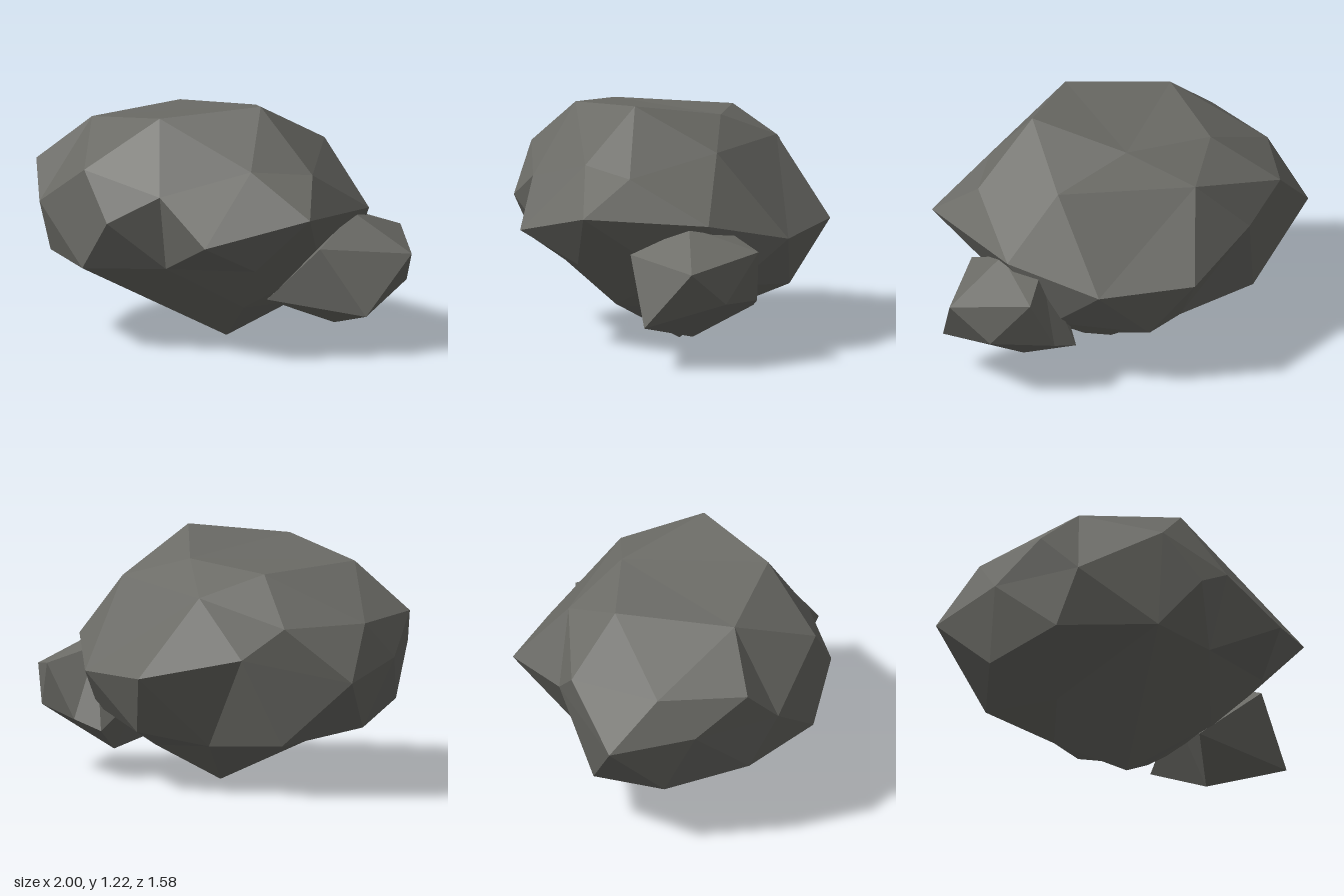
import * as THREE from 'three';
import { ConvexGeometry } from 'three/addons/geometries/ConvexGeometry.js';

// Faceted stone: facets are found on a sphere around the centre,
// then each corner is moved back out, which keeps the hollows.
function stoneGeometry(corners, centre) {
  const c = new THREE.Vector3(...centre);
  const real = corners.map((p) => new THREE.Vector3(...p));
  const onSphere = real.map((p) => p.clone().sub(c).normalize());
  const geometry = new ConvexGeometry(onSphere);
  const pos = geometry.attributes.position;
  const v = new THREE.Vector3();
  for (let i = 0; i < pos.count; i++) {
    v.fromBufferAttribute(pos, i);
    let best = 0;
    onSphere.forEach((r, k) => {
      if (r.distanceToSquared(v) < onSphere[best].distanceToSquared(v)) best = k;
    });
    pos.setXYZ(i, real[best].x, real[best].y, real[best].z);
  }
  geometry.computeVertexNormals();
  return geometry;
}

export function createModel() {
  const group = new THREE.Group();
  group.name = 'rocks';
  const stone = new THREE.MeshStandardMaterial({ color: 0x6b6b66, flatShading: true });
  stone.name = 'grey stone';

  // Large boulder: crown, girdle, underside
  const crown = [
    [0.35, 1.22, 0.12], [-0.01, 1.17, 0.47], [-0.53, 1.10, 0.35], [-0.45, 1.10, -0.25],
    [0.02, 1.13, -0.26], [0.42, 1.01, -0.30], [-0.24, 0.99, -0.50], [0.66, 0.91, 0.10],
    [0.47, 0.94, 0.35], [-0.28, 0.92, 0.73], [0.14, 0.82, 0.66], [-0.81, 0.87, 0.44],
    [-0.89, 0.87, 0.0], [-0.74, 0.88, -0.44],
  ];
  const girdle = [
    [0.81, 0.73, 0.31], [0.44, 0.60, 0.68], [-0.09, 0.68, 0.79], [-0.68, 0.69, 0.58],
    [-0.92, 0.68, 0.19], [-1.0, 0.61, -0.23], [-0.53, 0.71, -0.52], [-0.09, 0.605, -0.79],
    [0.37, 0.58, -0.65], [0.70, 0.69, -0.30],
  ];
  const underside = [
    [-0.30, 0.42, 0.72], [0.10, 0.44, 0.56], [-0.72, 0.42, 0.44], [-0.85, 0.34, 0.03],
    [-0.64, 0.27, -0.34], [-0.47, 0.23, 0.05], [-0.21, 0.23, -0.39], [0.07, 0.30, -0.61],
    [0.25, 0.17, -0.25], [0, 0, -0.05], [0.32, 0.22, 0.22], [0.52, 0.45, 0.38],
    [0.55, 0.40, -0.10], [0.50, 0.36, -0.40],
  ];
  const boulder = new THREE.Mesh(
    stoneGeometry([...crown, ...girdle, ...underside], [0, 0.62, 0]), stone);
  boulder.name = 'boulder';

  // Small stone leaning into the boulder's side
  const small = [
    [1.0, 0.50, -0.26], [0.91, 0.21, -0.01], [0.70, 0.57, -0.55], [0.56, 0.11, -0.20],
    [0.70, 0.54, 0.09], [0.68, 0.68, -0.20], [0.35, 0.24, 0.07], [0.85, 0.33, -0.41],
    [0.55, 0.30, -0.52], [0.54, 0.65, -0.36], [0.41, 0.25, -0.48], [0.36, 0.45, -0.18],
  ];
  const sideStone = new THREE.Mesh(stoneGeometry(small, [0.66, 0.4, -0.22]), stone);
  sideStone.name = 'sideStone';

  group.add(boulder, sideStone);
  return group;
}
